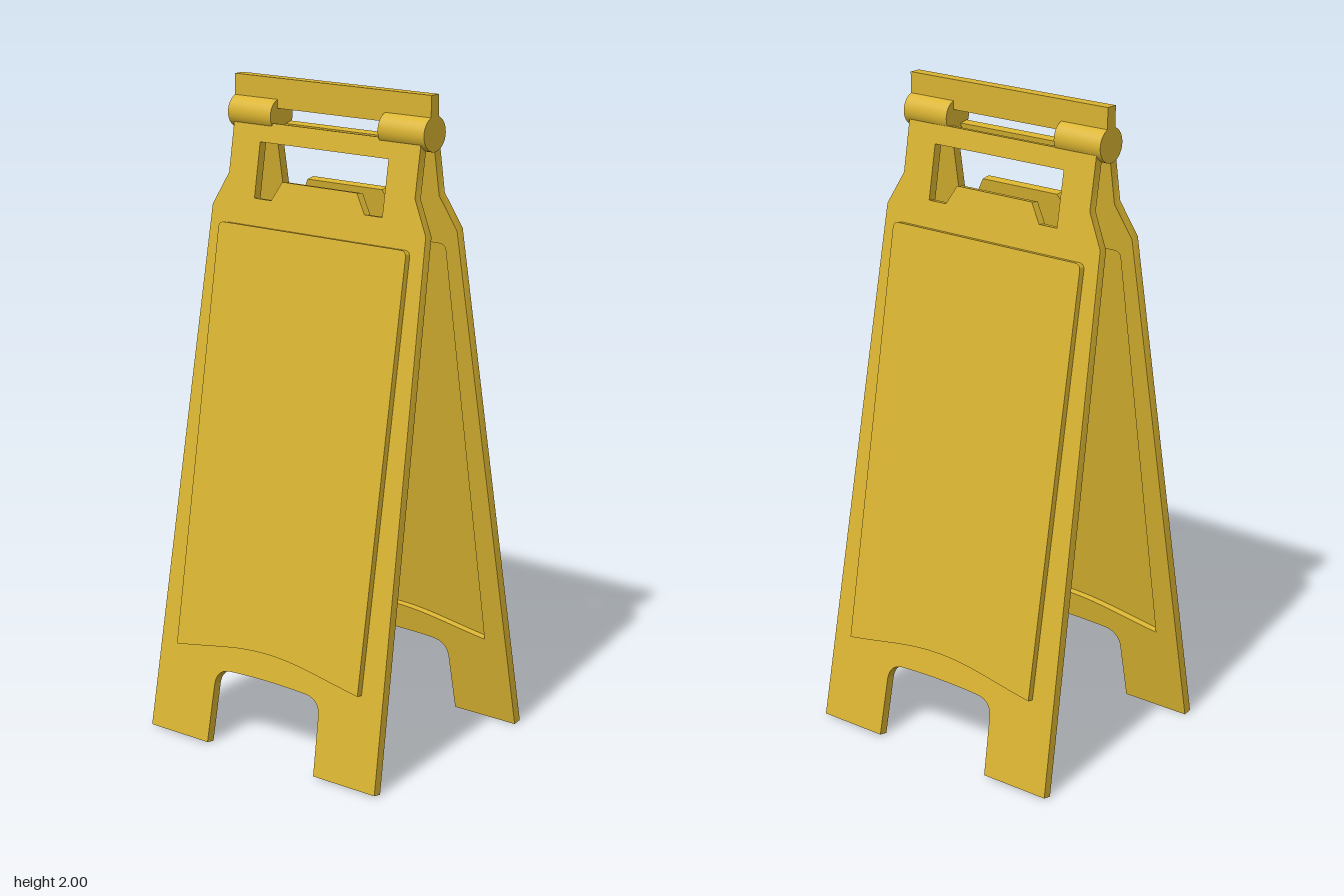
import * as THREE from 'three';
import { toCreasedNormals } from 'three/addons/utils/BufferGeometryUtils.js';

const THICK = 0.028; // panel sheet thickness
const EMBOSS = 0.02; // how far the sign face is pushed outward

// heights as seen from the front -> distance along the tilted panel
const along = (y) => Math.max(0, (y - 0.005) * 1.0148);

// board outline with foot cutout
function boardShape() {
  const s = new THREE.Shape();
  s.moveTo(0.437, 0);
  s.lineTo(0.4, along(1.61));
  s.lineTo(0.348, along(1.71));
  s.lineTo(0.348, along(1.868));
  s.lineTo(-0.348, along(1.868));
  s.lineTo(-0.348, along(1.71));
  s.lineTo(-0.4, along(1.61));
  s.lineTo(-0.437, 0);
  s.lineTo(-0.208, 0);
  s.lineTo(-0.203, along(0.185));
  s.quadraticCurveTo(-0.2, along(0.232), -0.15, along(0.237));
  s.quadraticCurveTo(0, along(0.246), 0.15, along(0.237));
  s.quadraticCurveTo(0.2, along(0.232), 0.203, along(0.185));
  s.lineTo(0.208, 0);
  s.closePath();
  return s;
}

// grip opening below the hinge
function gripPath() {
  const pts = [[0.24, 1.81], [0.24, 1.645], [0.175, 1.645], [0.14, 1.703]];
  const all = [...pts, ...pts.map(([x, y]) => [-x, y]).reverse()];
  return new THREE.Path(all.map(([x, y]) => new THREE.Vector2(x, along(y))));
}

// embossed sign face: rounded top corners, arched lower edge
function faceShape() {
  const s = new THREE.Shape();
  const w = 0.352, top = along(1.564), low = along(0.281), r = 0.02;
  s.moveTo(w, low);
  s.lineTo(w, top - r);
  s.quadraticCurveTo(w, top, w - r, top);
  s.lineTo(-w + r, top);
  s.quadraticCurveTo(-w, top, -w, top - r);
  s.lineTo(-w, low);
  s.bezierCurveTo(-0.2, low + 0.022, -0.12, low + 0.046, 0, low + 0.046);
  s.bezierCurveTo(0.12, low + 0.046, 0.2, low + 0.022, w, low);
  return s;
}

function extrude(shape, depth) {
  const g = new THREE.ExtrudeGeometry(shape, { depth, bevelEnabled: false, curveSegments: 12 });
  return toCreasedNormals(g, 0.6);
}

export function createModel() {
  const yellow = new THREE.MeshStandardMaterial({ color: 0xdab431 });
  yellow.name = 'safety yellow';

  const model = new THREE.Group();
  model.name = 'foldingFloorSign';
  const add = (parent, name, geometry, x = 0, y = 0, z = 0) => {
    const m = new THREE.Mesh(geometry, yellow);
    m.name = name;
    m.position.set(x, y, z);
    parent.add(m);
    return m;
  };

  // two leaning panels, each with a recess behind its raised face
  const board = boardShape();
  board.holes.push(gripPath(), new THREE.Path(faceShape().getPoints(12)));
  const boardGeo = extrude(board, THICK);
  const faceGeo = extrude(faceShape(), THICK);

  const makePanel = (name, side, footZ, degrees) => {
    const tilt = new THREE.Group();
    tilt.position.z = footZ;
    tilt.rotation.x = -THREE.MathUtils.degToRad(degrees);
    add(tilt, name + 'Board', boardGeo);
    add(tilt, name + 'SignFace', faceGeo, 0, 0, EMBOSS);
    const panel = new THREE.Group();
    panel.name = name + 'Panel';
    panel.rotation.y = side > 0 ? 0 : Math.PI;
    panel.add(tilt);
    model.add(panel);
  };
  makePanel('front', 1, 0.342, 9.7);
  makePanel('back', -1, 0.344, 10.2);

  // hinge barrels at both ends
  const barrelGeo = toCreasedNormals(new THREE.CylinderGeometry(0.052, 0.052, 0.165, 32), 0.6);
  barrelGeo.rotateZ(Math.PI / 2);
  for (const side of [1, -1]) {
    add(model, side > 0 ? 'leftHingeBarrel' : 'rightHingeBarrel', barrelGeo, side * 0.2825, 1.888, 0.009);
  }

  // flat bar along the top
  add(model, 'topBar', new THREE.BoxGeometry(0.73, 0.09, 0.037), 0, 1.955, 0.009);

  return model;
}
